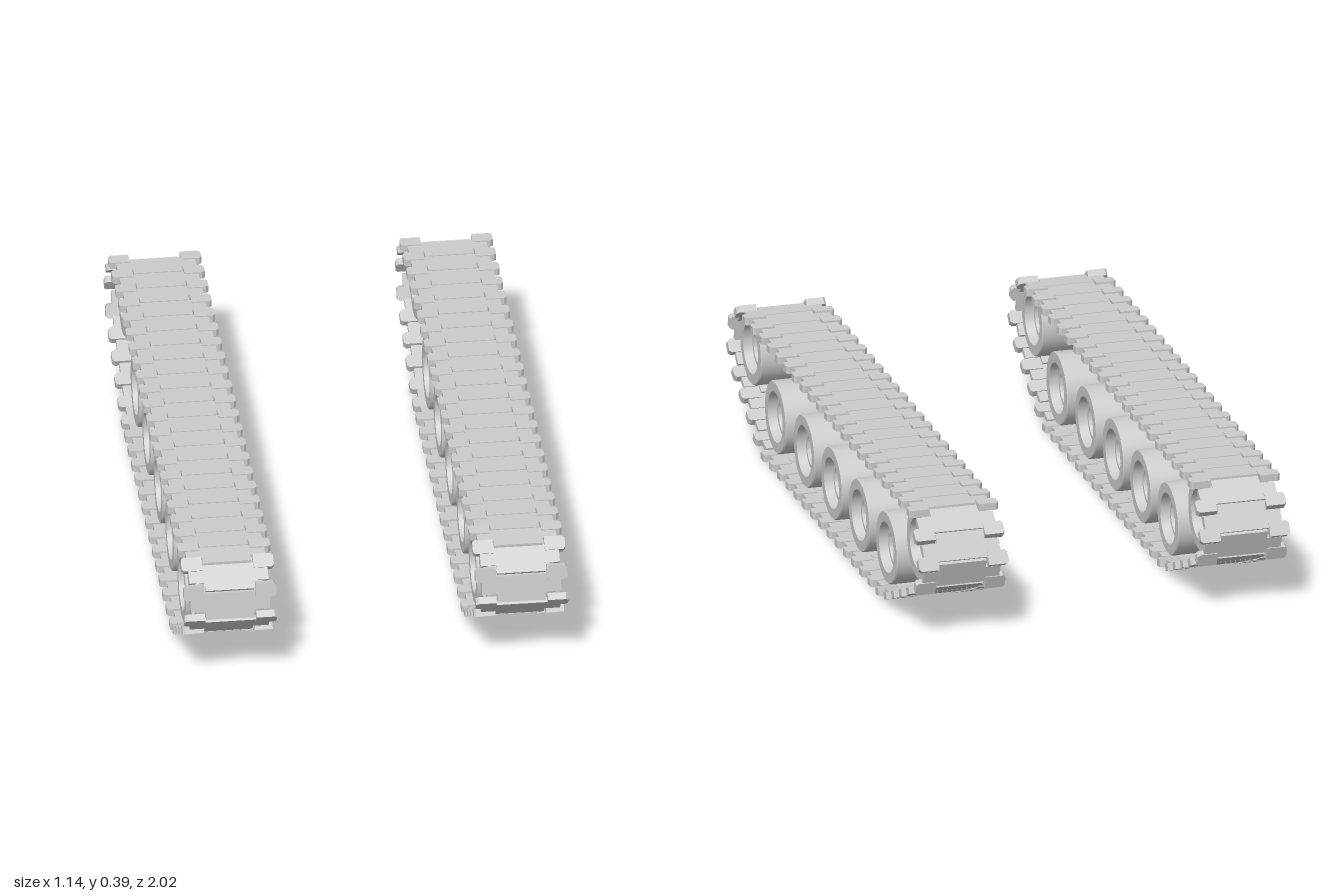
import * as THREE from 'three';
import { toCreasedNormals, mergeGeometries } from 'three/addons/utils/BufferGeometryUtils.js';

const TRACK_X = 0.4325, PITCH = 0.085;

// Stepped wheel with a recessed hub on both faces, axle along x
function wheelGeometry() {
  const half = [[0, 0.06], [0.05, 0.06], [0.053, 0.075], [0.064, 0.075], [0.066, 0.06], [0.072, 0.06], [0.077, 0.1], [0.107, 0.1], [0.11, 0.096]];
  const profile = [
    ...half.map(([r, h]) => new THREE.Vector2(r, -h)),
    ...half.slice().reverse().map(([r, h]) => new THREE.Vector2(r, h)),
  ];
  return toCreasedNormals(new THREE.LatheGeometry(profile, 32).rotateZ(Math.PI / 2), 0.5);
}

// Track link: x across, y along the direction of travel, z outward
function linkGeometry() {
  const w = 0.1175, t = 0.072, end = PITCH / 2 - 0.002, shoulder = end - 0.026;
  const s = new THREE.Shape();
  s.moveTo(-w, -end);
  s.lineTo(w, -end);
  s.lineTo(w, shoulder);
  s.lineTo(t, shoulder);
  s.lineTo(t, end);
  s.lineTo(-t, end);
  s.lineTo(-t, shoulder);
  s.lineTo(-w, shoulder);
  const parts = [new THREE.ExtrudeGeometry(s, { depth: 0.016, bevelEnabled: false }).translate(0, 0, -0.008)];
  // prongs that reach back beside the tongue of the previous link
  for (const side of [-1, 1]) {
    const p = new THREE.Shape();
    const pts = [[0.076, -0.024], [0.13, -0.024], [0.137, -0.017], [0.137, 0.012], [0.13, 0.019], [0.076, 0.019]];
    p.setFromPoints(pts.map(([x, y]) => new THREE.Vector2(x * side, y - PITCH / 2)));
    parts.push(new THREE.ExtrudeGeometry(p, { depth: 0.022, bevelEnabled: false }).translate(0, 0, -0.011));
  }
  return toCreasedNormals(mergeGeometries(parts), 0.4);
}

// Closed loop of the track centreline in the yz plane, from the front downward
function trackPath() {
  const pts = [[0.31, 0.977], [0.226, 0.99], [0.165, 0.94], [0.03, 0.7], [0.011, 0.64], [0.011, -0.59],
    [0.03, -0.66], [0.155, -0.955], [0.235, -0.993], [0.31, -0.955], [0.371, -0.88], [0.371, 0.905]];
  const path = new THREE.CurvePath();
  const v = pts.map(([y, z]) => new THREE.Vector3(0, y, z));
  v.forEach((p, i) => path.add(new THREE.LineCurve3(p, v[(i + 1) % v.length])));
  return path;
}

export function createModel() {
  const model = new THREE.Group();
  model.name = 'trackAssembly';
  const material = new THREE.MeshStandardMaterial({ color: 0xcccccc });
  const wheelGeo = wheelGeometry(), linkGeo = linkGeometry(), path = trackPath();
  const count = Math.round(path.getLength() / PITCH);
  const across = new THREE.Vector3(-1, 0, 0);
  // [z, y] of the wheel centres: front, five road wheels, rear
  const wheels = [[0.877, 0.26], [0.62, 0.135], [0.32, 0.135], [0.035, 0.135], [-0.25, 0.135], [-0.535, 0.135], [-0.855, 0.26]];

  for (const side of [1, -1]) {
    const unit = new THREE.Group();
    unit.name = side > 0 ? 'leftTrack' : 'rightTrack';
    unit.position.x = side * TRACK_X;

    wheels.forEach(([z, y], i) => {
      const wheel = new THREE.Mesh(wheelGeo, material);
      wheel.name = i === 0 ? 'frontWheel' : i === wheels.length - 1 ? 'rearWheel' : 'roadWheel' + i;
      wheel.position.set(0, y, z);
      unit.add(wheel);
    });

    const belt = new THREE.Group();
    belt.name = 'trackLinks';
    for (let i = 0; i < count; i++) {
      const a = path.getPointAt(i / count), b = path.getPointAt(((i + 1) % count) / count);
      const dir = b.clone().sub(a).normalize();
      const out = across.clone().cross(dir);
      const link = new THREE.Mesh(linkGeo, material);
      link.name = 'trackLink';
      link.quaternion.setFromRotationMatrix(new THREE.Matrix4().makeBasis(across, dir, out));
      link.position.copy(a).add(b).multiplyScalar(0.5);
      belt.add(link);
    }
    unit.add(belt);
    model.add(unit);
  }
  return model;
}
